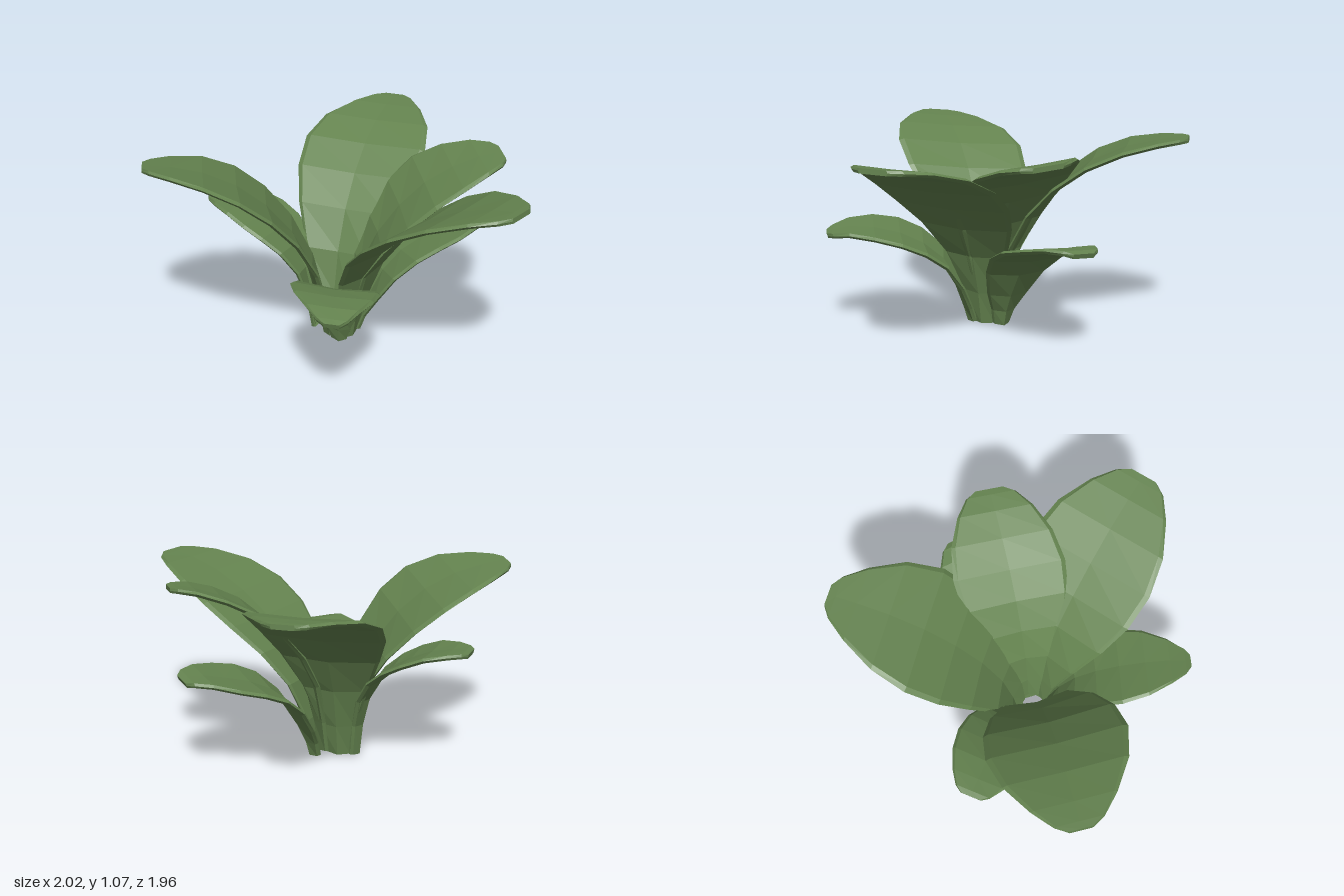
import * as THREE from 'three';

// Shared stations along a leaf: share of its reach, and share of its greatest width
const REACH = [0, 0.03, 0.09, 0.2, 0.34, 0.5, 0.68, 0.85, 0.96, 1];
const WIDTH = [0.2, 0.3, 0.52, 0.77, 0.95, 1, 0.87, 0.59, 0.34, 0.17];
const TALL = [0.02, 0.2, 0.43, 0.64, 0.8, 0.92, 1.0, 1.04, 1.055, 1.058];

// Cross-section: [position across the leaf, offset in thickness]
const SECTION = [[-1, 0], [-0.92, 0.5], [0, 0.5], [0.92, 0.5], [1, 0], [0.92, -0.5], [0, -0.5], [-0.92, -0.5]];
const THICK = 0.026;

// base and tip are [x, z]; blunt below 1 widens the tip; roll tips one edge down
const LEAVES = [
  { name: 'backTallLeaf', base: [-0.06, 0.02], tip: [0.12, -0.975], half: 0.36, heights: TALL },
  { name: 'rightTallLeaf', base: [-0.08, 0.12], tip: [-0.98, 0.42], half: 0.37, roll: 0.1, heights: TALL },
  { name: 'leftTallLeaf', base: [0.065, 0.13], tip: [0.98, 0.61], half: 0.37, blunt: 0.85,
    heights: [0.02, 0.2, 0.42, 0.6, 0.74, 0.86, 0.955, 1.01, 1.03, 1.035] },
  { name: 'leftInnerLeaf', base: [0.045, 0.08], tip: [0.825, -0.21], half: 0.31, blunt: 0.75, roll: 0.1,
    heights: [0.02, 0.2, 0.43, 0.61, 0.76, 0.88, 0.96, 1.01, 1.025, 1.025] },
  { name: 'frontLowLeaf', base: [0.01, 0.2], tip: [0.13, 0.965], half: 0.23, roll: -0.13,
    heights: [0.02, 0.1, 0.23, 0.37, 0.46, 0.52, 0.555, 0.565, 0.55, 0.54] },
  { name: 'leftLowLeaf', base: [0.09, 0.015], tip: [0.73, -0.39], half: 0.245, blunt: 0.75, roll: -0.08,
    heights: [0.015, 0.1, 0.2, 0.34, 0.44, 0.5, 0.54, 0.575, 0.58, 0.57] },
  { name: 'rightLowLeaf', base: [-0.17, 0.04], tip: [-0.78, -0.15], half: 0.215, blunt: 0.75,
    heights: [0.02, 0.2, 0.36, 0.48, 0.56, 0.62, 0.67, 0.69, 0.695, 0.69] },
];

function leafGeometry({ base, tip, half, heights, blunt = 1, roll = 0 }) {
  const dir = new THREE.Vector3(tip[0] - base[0], 0, tip[1] - base[1]);
  const length = dir.length();
  dir.normalize();
  const side = new THREE.Vector3(dir.z, 0, -dir.x);
  const positions = [];
  const index = [];
  const n = SECTION.length;
  const last = REACH.length - 1;

  // Rings of points along the arching midrib, cupped near the base and flat at the tip
  REACH.forEach((s, i) => {
    const a = Math.max(i - 1, 0);
    const b = Math.min(i + 1, last);
    const slope = new THREE.Vector2((REACH[b] - REACH[a]) * length, heights[b] - heights[a]).normalize();
    const w = half * Math.pow(WIDTH[i], s > 0.5 ? blunt : 1);
    for (const [u, v] of SECTION) {
      const lift = v * THICK + 0.03 * u * u * (1 - s);
      const p = new THREE.Vector3(base[0], heights[i] + slope.x * lift + roll * u * w, base[1]);
      p.addScaledVector(dir, s * length - slope.y * lift).addScaledVector(side, u * w);
      positions.push(p.x, p.y, p.z);
    }
  });

  // Skin between rings
  for (let i = 0; i < last; i++) {
    for (let j = 0; j < n; j++) {
      const k = (j + 1) % n;
      const a = i * n + j, b = i * n + k, c = b + n, d = a + n;
      index.push(a, d, c, a, c, b);
    }
  }
  // End caps
  for (let j = 1; j < n - 1; j++) {
    index.push(0, j, j + 1);
    index.push(last * n, last * n + j + 1, last * n + j);
  }

  const geometry = new THREE.BufferGeometry();
  geometry.setAttribute('position', new THREE.Float32BufferAttribute(positions, 3));
  geometry.setIndex(index);
  geometry.computeVertexNormals();
  return geometry;
}

export function createModel() {
  const plant = new THREE.Group();
  plant.name = 'leafyPlant';
  const green = new THREE.MeshStandardMaterial({ color: 0x64834f, flatShading: true });
  for (const leaf of LEAVES) {
    const mesh = new THREE.Mesh(leafGeometry(leaf), green);
    mesh.name = leaf.name;
    plant.add(mesh);
  }
  return plant;
}
